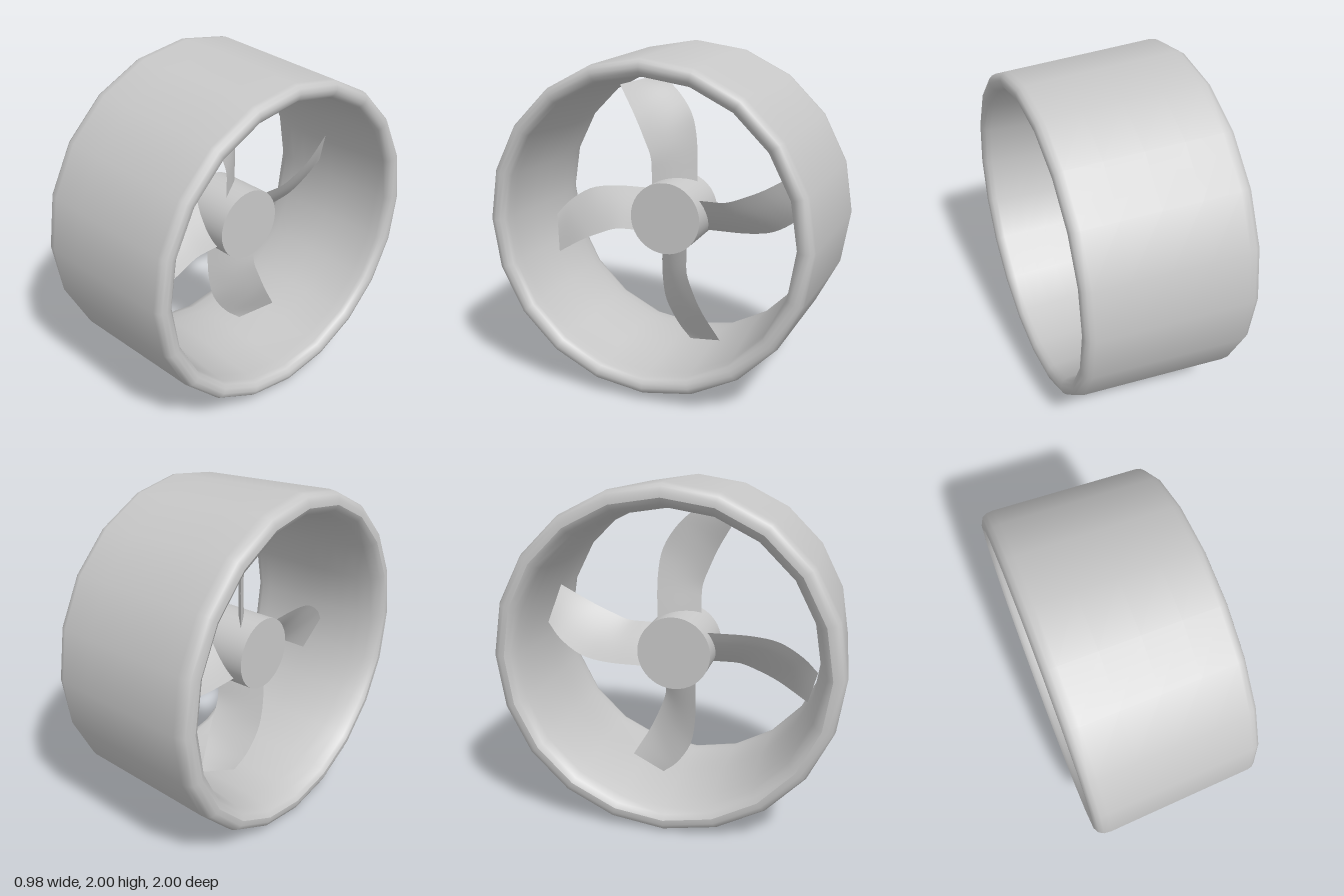
import * as THREE from 'three';

const AXIS_Y = 1; // height of the rotor axis, which runs along x

// Blade edges from root to tip, relative to the axis
const edgeA = new THREE.CatmullRomCurve3([
  [0.04, 0.12, 0.11], [0.045, 0.24, 0.11], [0.05, 0.35, 0.115],
  [0.055, 0.46, 0.155], [0.05, 0.58, 0.21], [0.02, 0.762, 0.318],
].map((p) => new THREE.Vector3(...p)));
const edgeB = new THREE.CatmullRomCurve3([
  [-0.13, 0.12, -0.115], [-0.13, 0.24, -0.115], [-0.125, 0.45, -0.11],
  [-0.115, 0.6, -0.08], [-0.095, 0.74, 0.01], [-0.07, 0.82, 0.1],
].map((p) => new THREE.Vector3(...p)));

// One skin of the blade; side = 1 or -1 bulges it to either side of the chord
function bladeSkin(side) {
  const across = 10, along = 20;
  const geo = new THREE.PlaneGeometry(1, 1, across, along);
  const pos = geo.attributes.position;
  const p = new THREE.Vector3();
  for (let j = 0; j <= along; j++) {
    const v = j / along;
    const a = edgeA.getPoint(v), b = edgeB.getPoint(v);
    const span = edgeA.getTangent(v).add(edgeB.getTangent(v));
    const normal = b.clone().sub(a).cross(span).normalize();
    for (let i = 0; i <= across; i++) {
      const u = side > 0 ? i / across : 1 - i / across;
      const bulge = side * 0.016 * (1 - v * v) * Math.sin(Math.PI * u);
      p.lerpVectors(a, b, u).addScaledVector(normal, bulge);
      pos.setXYZ(j * (across + 1) + i, p.x, p.y, p.z);
    }
  }
  // Rows run root to tip, so reverse the plane's corner order
  const index = geo.index.array;
  for (let k = 0; k < index.length; k += 3) {
    [index[k + 1], index[k + 2]] = [index[k + 2], index[k + 1]];
  }
  geo.computeVertexNormals();
  return geo;
}

export function createModel() {
  const model = new THREE.Group();
  model.name = 'ductedPropeller';
  const metal = new THREE.MeshStandardMaterial({ color: 0xc8c8c8 });
  metal.name = 'light grey metal';

  // Duct: closed nozzle section (radius, axial position), outside then inside
  const profile = [
    [0.925, -0.49], [0.955, -0.488], [0.982, -0.475], [0.996, -0.45], [1, -0.41],
    [0.99, -0.2], [0.98, 0.02], [0.97, 0.24], [0.961, 0.44],
    [0.955, 0.465], [0.94, 0.484], [0.915, 0.492], [0.888, 0.486],
    [0.868, 0.468], [0.86, 0.44], [0.858, 0.38], [0.855, 0.28], [0.848, 0.15],
    [0.84, 0.02], [0.838, -0.1], [0.842, -0.22], [0.853, -0.33],
    [0.87, -0.42], [0.893, -0.472], [0.925, -0.49],
  ].map(([r, x]) => new THREE.Vector2(r, x));
  const duct = new THREE.Mesh(new THREE.LatheGeometry(profile, 20), metal);
  duct.name = 'duct';
  duct.rotation.z = -Math.PI / 2;
  duct.position.y = AXIS_Y;
  model.add(duct);

  // Hub
  const hub = new THREE.Mesh(new THREE.CylinderGeometry(0.216, 0.216, 0.33, 40), metal);
  hub.name = 'hub';
  hub.rotation.z = -Math.PI / 2;
  hub.position.set(-0.045, AXIS_Y, 0);
  model.add(hub);

  // Four blades around the hub
  const skins = [bladeSkin(1), bladeSkin(-1)];
  for (let k = 0; k < 4; k++) {
    const blade = new THREE.Group();
    blade.name = 'blade' + (k + 1);
    for (const skin of skins) {
      const mesh = new THREE.Mesh(skin, metal);
      mesh.name = 'bladeSkin';
      blade.add(mesh);
    }
    blade.position.y = AXIS_Y;
    blade.rotation.x = (k * Math.PI) / 2;
    model.add(blade);
  }
  return model;
}
